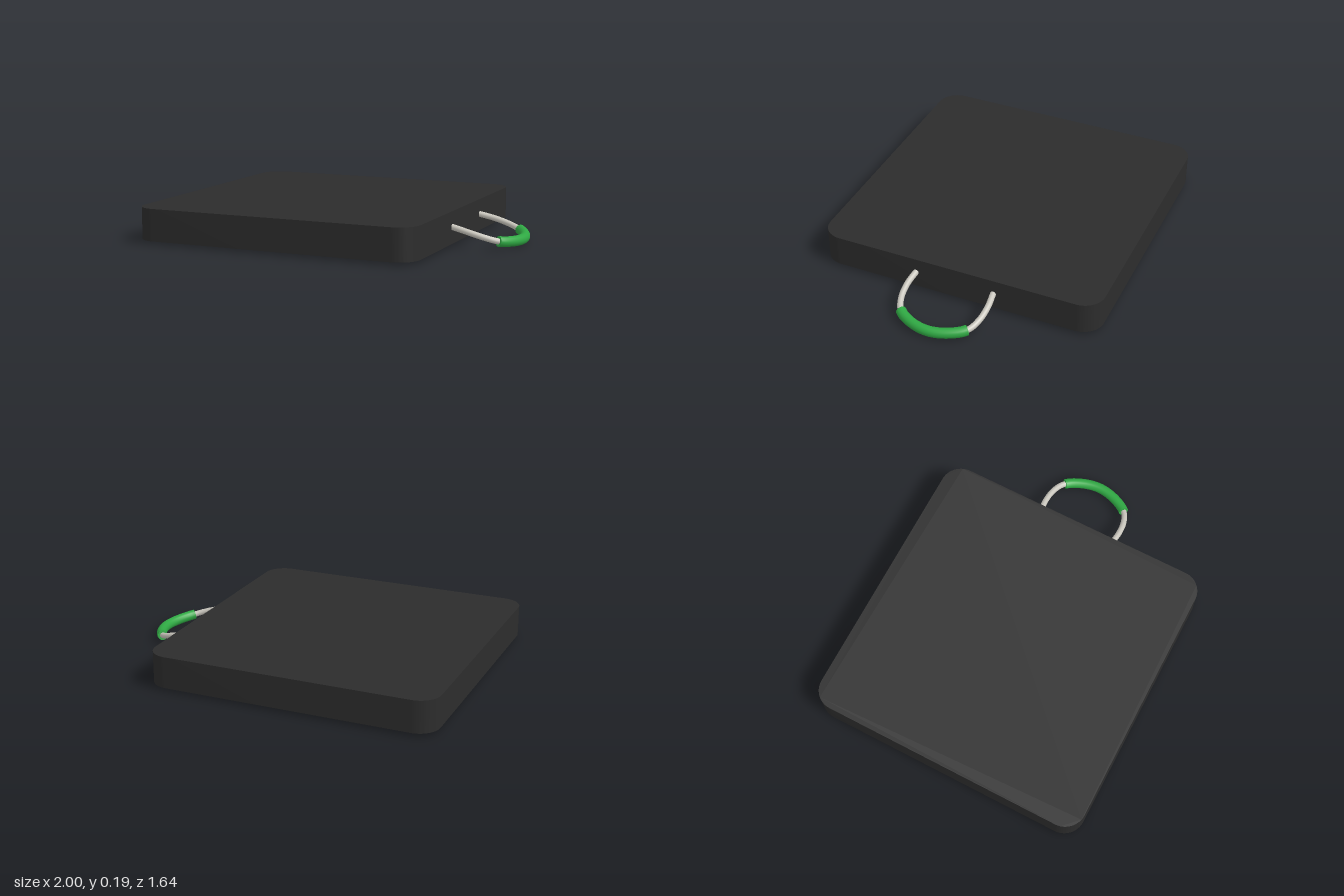
import * as THREE from 'three';
import { toCreasedNormals } from 'three/addons/utils/BufferGeometryUtils.js';

const padMat = new THREE.MeshStandardMaterial({ color: 0x2c2c2c });
padMat.name = 'black plastic';
const ropeMat = new THREE.MeshStandardMaterial({ color: 0xc9c6bd });
ropeMat.name = 'pale rope';
const gripMat = new THREE.MeshStandardMaterial({ color: 0x2fa843 });
gripMat.name = 'green grip';

function part(name, geometry, material) {
  const mesh = new THREE.Mesh(geometry, material);
  mesh.name = name;
  return mesh;
}

// Square slab with rounded vertical corners, lying flat
function makePad() {
  const h = 0.82, r = 0.12;
  const s = new THREE.Shape();
  s.moveTo(h, -h + r);
  [[h, h], [-h, h], [-h, -h], [h, -h]].forEach(([x, y], i) => {
    const a = (i * Math.PI) / 2;
    s.absarc(x - Math.sign(x) * r, y - Math.sign(y) * r, r, a, a + Math.PI / 2, false);
  });
  s.closePath();
  const g = new THREE.ExtrudeGeometry(s, { depth: 0.18, bevelEnabled: false, curveSegments: 12 });
  g.rotateX(-Math.PI / 2);
  g.translate(-0.18, 0.015, 0);
  return toCreasedNormals(g, 0.6);
}

// Tube along a path with both ends closed by discs
function cappedTube(name, path, segments, radius, material) {
  const group = new THREE.Group();
  group.name = name;
  group.add(part(name + 'Tube', new THREE.TubeGeometry(path, segments, radius, 16), material));
  [0, 1].forEach((t) => {
    const cap = part(name + 'End', new THREE.CircleGeometry(radius, 16), material);
    const p = path.getPointAt(t);
    const d = path.getTangentAt(t).multiplyScalar(t ? 1 : -1);
    cap.position.copy(p);
    cap.lookAt(p.clone().add(d));
    group.add(cap);
  });
  return group;
}

export function createModel() {
  const model = new THREE.Group();
  model.name = 'carryPad';
  model.add(part('pad', makePad(), padMat));

  // Rope loop drooping from the side of the pad; the half path is mirrored in z
  const half = [
    [0.60, 0.115, 0.225], [0.64, 0.108, 0.230], [0.73, 0.088, 0.239],
    [0.82, 0.063, 0.229], [0.89, 0.042, 0.195], [0.945, 0.032, 0.105],
  ];
  const pts = [
    ...half.map(([x, y, z]) => new THREE.Vector3(x, y, z)),
    new THREE.Vector3(0.967, 0.029, 0),
    ...half.slice().reverse().map(([x, y, z]) => new THREE.Vector3(x, y, -z)),
  ];
  const loop = new THREE.CatmullRomCurve3(pts);
  const handle = new THREE.Group();
  handle.name = 'handle';
  handle.add(part('rope', new THREE.TubeGeometry(loop, 80, 0.017, 12), ropeMat));

  // Sleeve follows the middle stretch of the loop
  const middle = [];
  for (let i = 0; i <= 16; i++) middle.push(loop.getPoint((4 + i / 4) / 12));
  handle.add(cappedTube('grip', new THREE.CatmullRomCurve3(middle), 40, 0.029, gripMat));

  model.add(handle);
  return model;
}
